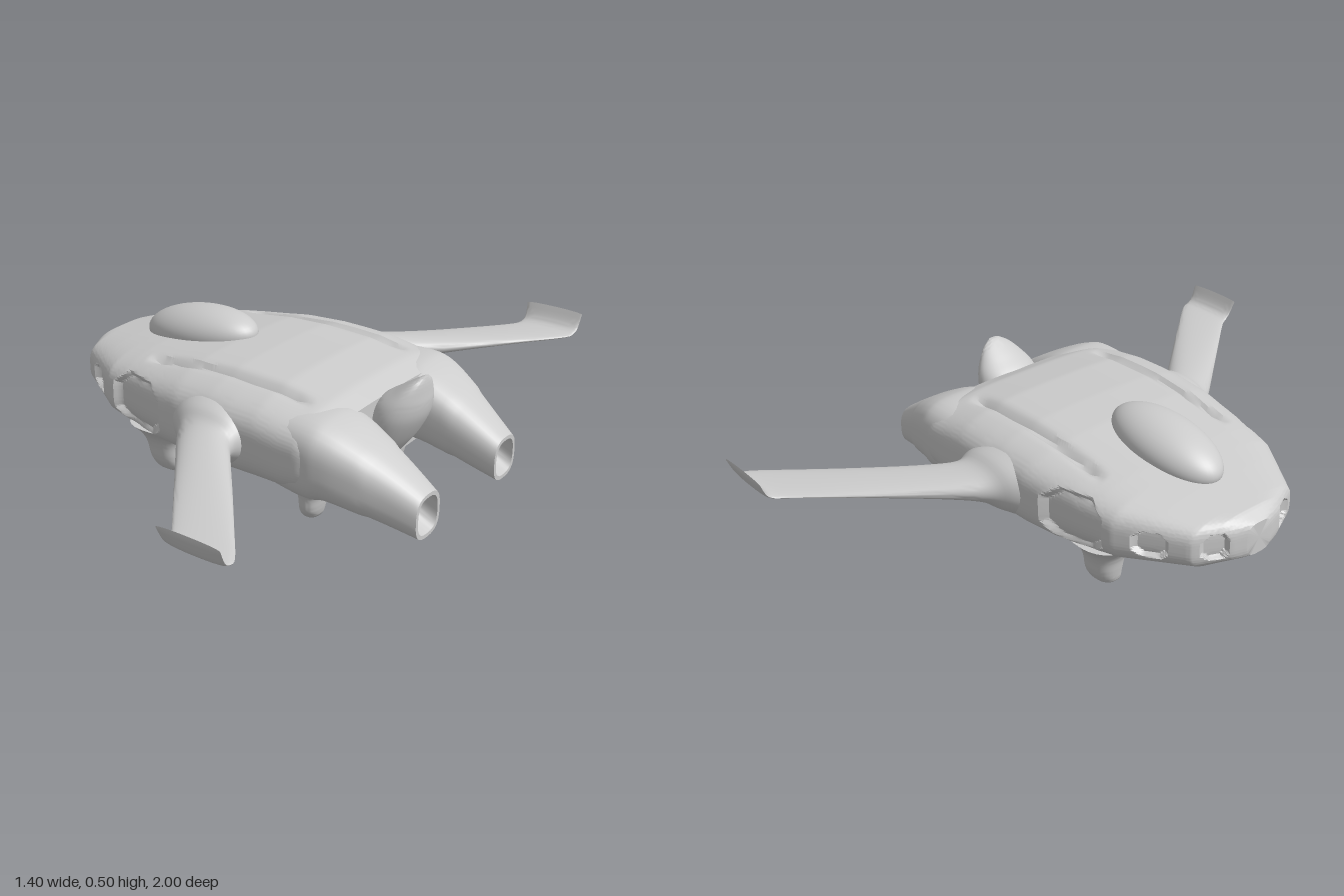
import * as THREE from 'three';
import { toCreasedNormals } from 'three/addons/utils/BufferGeometryUtils.js';

const material = new THREE.MeshStandardMaterial({ color: 0xcccccc, side: THREE.DoubleSide });

// Skin a list of closed rings (arrays of Vector3), cap both ends, face outwards.
function loft(rings, crease = 0.7) {
  const n = rings[0].length, pts = rings.flat(), index = [];
  for (let i = 0; i < rings.length - 1; i++) {
    for (let j = 0; j < n; j++) {
      const a = i * n + j, b = i * n + (j + 1) % n;
      index.push(a, b, a + n, b, b + n, a + n);
    }
  }
  for (const [r, flip] of [[0, true], [rings.length - 1, false]]) {
    const c = new THREE.Vector3();
    rings[r].forEach(p => c.addScaledVector(p, 1 / n));
    const k = pts.push(c) - 1;
    for (let j = 0; j < n; j++) {
      const a = r * n + j, b = r * n + (j + 1) % n;
      index.push(...(flip ? [k, b, a] : [k, a, b]));
    }
  }
  let volume = 0;
  const cross = new THREE.Vector3();
  for (let i = 0; i < index.length; i += 3) {
    volume += pts[index[i]].dot(cross.crossVectors(pts[index[i + 1]], pts[index[i + 2]]));
  }
  if (volume < 0) index.reverse();
  const g = new THREE.BufferGeometry().setFromPoints(pts);
  g.setIndex(index);
  return toCreasedNormals(g, crease);
}

// Superellipse ring: calls make(u, v) with u, v in -1..1.
function ring(segments, power, make) {
  return Array.from({ length: segments }, (_, j) => {
    const t = j / segments * Math.PI * 2, c = Math.cos(t), s = Math.sin(t);
    const r = (Math.abs(c) ** power + Math.abs(s) ** power) ** (-1 / power);
    return make(c * r, s * r);
  });
}

// Resample rows of numbers with a smooth curve.
function smoothRows(rows, steps) {
  const at = (i, k) => rows[Math.min(Math.max(i, 0), rows.length - 1)][k];
  const out = [];
  for (let i = 0; i < rows.length - 1; i++) {
    for (let s = 0; s < steps; s++) {
      const t = s / steps;
      out.push(rows[i].map((p, k) => {
        const q = at(i + 1, k), m0 = (q - at(i - 1, k)) / 2, m1 = (at(i + 2, k) - p) / 2;
        return p + t * m0 + t * t * (3 * (q - p) - 2 * m0 - m1) + t ** 3 * (2 * (p - q) + m0 + m1);
      }));
    }
  }
  out.push(rows[rows.length - 1]);
  return out;
}

// Linear lookup in a list of [x, value].
function lookup(table, x) {
  for (let i = 1; i < table.length; i++) {
    const [x0, v0] = table[i - 1], [x1, v1] = table[i];
    if (x <= x1) return v0 + (v1 - v0) * Math.max(0, (x - x0) / (x1 - x0));
  }
  return table[table.length - 1][1];
}

const mid = (a, b, u) => (a + b) / 2 + (b - a) / 2 * u;

// Hull: lofted along x, with window recesses and two grooves in the roof.
function hullGeometry() {
  const width = [[-0.7, 0.05], [-0.685, 0.1], [-0.63, 0.21], [-0.43, 0.335], [-0.28, 0.37], [-0.1, 0.4], [0.1, 0.41], [0.36, 0.405], [0.42, 0.385]];
  const top = [[-0.7, 0.32], [-0.66, 0.345], [-0.52, 0.372], [-0.36, 0.4], [-0.12, 0.432], [0.02, 0.44], [0.2, 0.435], [0.35, 0.41], [0.42, 0.38]];
  const bottom = [[-0.7, 0.215], [-0.63, 0.19], [-0.36, 0.15], [-0.2, 0.13], [0.3, 0.13], [0.42, 0.155]];
  // x, y, half width, half height, depth along x, depth along z
  const windows = [
    [-0.285, 0.273, 0.115, 0.09, 0, 0.025],
    [-0.528, 0.27, 0.047, 0.042, 0.01, 0.018],
    [-0.664, 0.272, 0.019, 0.042, 0.018, 0.006],
  ];
  const rings = [], rows = 130;
  for (let i = 0; i <= rows; i++) {
    const x = -0.7 + 1.12 * (i / rows) ** 1.5;
    const w = lookup(width, x), y1 = lookup(top, x), y0 = lookup(bottom, x);
    rings.push(ring(192, 3.3, (u, v) => {
      const p = new THREE.Vector3(x, mid(y0, y1, v), w * u);
      if (Math.abs(u) > 0.6) {
        for (const [wx, wy, a, b, dx, dz] of windows) {
          const s = Math.abs(x - wx) / a, t = Math.abs(p.y - wy) / b;
          const d = THREE.MathUtils.clamp((1 - Math.max(s, t, (s + t) / 1.5)) / 0.18, 0, 1);
          p.x += dx * d;
          p.z -= Math.sign(u) * dz * d;
        }
      }
      if (v > 0.5) {
        const along = THREE.MathUtils.clamp((0.32 - Math.abs(x)) / 0.06, 0, 1);
        p.y -= 0.022 * along * Math.exp(-(((Math.abs(p.z) - 0.257) / 0.016) ** 2));
      }
      return p;
    }));
  }
  return loft(rings, 0.5);
}

// Engine: rows are x, inner z, outer z, bottom y, top y; the last rows run back inside.
function engineGeometry(side) {
  const shell = smoothRows([
    [0.2, 0.13, 0.385, 0.16, 0.39], [0.36, 0.12, 0.4, 0.14, 0.395], [0.43, 0.117, 0.392, 0.148, 0.38],
    [0.52, 0.13, 0.362, 0.13, 0.335], [0.61, 0.145, 0.325, 0.105, 0.28], [0.7, 0.162, 0.292, 0.08, 0.22],
  ], 5);
  shell.push([0.7, 0.174, 0.28, 0.092, 0.208], [0.62, 0.178, 0.285, 0.13, 0.235], [0.5, 0.19, 0.28, 0.2, 0.28]);
  return loft(shell.map(([x, z0, z1, y0, y1]) =>
    ring(40, x < 0.55 ? 3.2 : 2.8, (u, v) => new THREE.Vector3(x, mid(y0, y1, v), side * mid(z0, z1, u)))));
}

// Wing: rows are z, leading x, trailing x, bottom y, top y.
function wingGeometry(side) {
  const rows = smoothRows([
    [0.36, -0.14, 0.18, 0.17, 0.39], [0.41, -0.09, 0.17, 0.2, 0.37], [0.45, -0.04, 0.165, 0.228, 0.342],
    [0.52, 0.015, 0.22, 0.247, 0.326], [0.65, 0.122, 0.33, 0.262, 0.312], [0.8, 0.245, 0.455, 0.273, 0.303],
    [0.92, 0.343, 0.553, 0.28, 0.299], [0.96, 0.364, 0.567, 0.286, 0.304],
    [0.982, 0.367, 0.57, 0.3, 0.325], [1, 0.362, 0.572, 0.345, 0.36],
  ], 4);
  return loft(rows.map(([z, x0, x1, y0, y1]) =>
    ring(36, 2.2, (u, v) => new THREE.Vector3(mid(x0, x1, u), mid(y0, y1, v), side * z))));
}

// Upright part: rows are y, x from, x to, z from, z to.
function uprightGeometry(rows, side, power) {
  return loft(smoothRows(rows, 5).map(([y, x0, x1, z0, z1]) =>
    ring(32, power, (u, v) => new THREE.Vector3(mid(x0, x1, u), y, side * mid(z0, z1, v)))));
}

const frontLegRows = [
  [0.17, -0.4, -0.17, 0.11, 0.33], [0.135, -0.365, -0.2, 0.14, 0.3], [0.1, -0.345, -0.217, 0.163, 0.285],
  [0.05, -0.335, -0.22, 0.172, 0.275], [0.015, -0.325, -0.222, 0.176, 0.255], [0, -0.3, -0.24, 0.185, 0.235],
];
const rearLegRows = [
  [0.17, 0.2, 0.43, 0.11, 0.33], [0.135, 0.25, 0.375, 0.14, 0.3], [0.1, 0.264, 0.34, 0.163, 0.285],
  [0.05, 0.267, 0.328, 0.172, 0.275], [0.02, 0.265, 0.318, 0.176, 0.25], [0.01, 0.272, 0.308, 0.185, 0.235],
];
const tailRows = [
  [0.145, 0.4, 0.425, -0.02, 0.02], [0.19, 0.39, 0.455, -0.075, 0.075], [0.25, 0.38, 0.5, -0.102, 0.102],
  [0.32, 0.38, 0.538, -0.112, 0.112], [0.37, 0.4, 0.55, -0.103, 0.103], [0.41, 0.455, 0.549, -0.078, 0.078],
  [0.44, 0.5, 0.547, -0.05, 0.05], [0.458, 0.528, 0.544, -0.02, 0.02],
];

export function createModel() {
  const model = new THREE.Group();
  const add = (name, geometry) => {
    const mesh = new THREE.Mesh(geometry, material);
    mesh.name = name;
    model.add(mesh);
    return mesh;
  };

  add('hull', hullGeometry());

  // Bubble canopy, tilted with the roof
  const canopy = add('canopy', new THREE.SphereGeometry(1, 48, 32));
  canopy.scale.set(0.217, 0.084, 0.112);
  canopy.position.set(-0.31, 0.408, 0);
  canopy.rotation.z = 0.14;

  add('tailFin', uprightGeometry(tailRows, 1, 2));

  for (const [side, label] of [[1, 'front'], [-1, 'back']]) {
    add(label + 'SideEngine', engineGeometry(side));
    add(label + 'SideWing', wingGeometry(side));
    add(label + 'SideNoseLeg', uprightGeometry(frontLegRows, side, 2.4));
    add(label + 'SideTailLeg', uprightGeometry(rearLegRows, side, 2.4));
  }
  return model;
}
